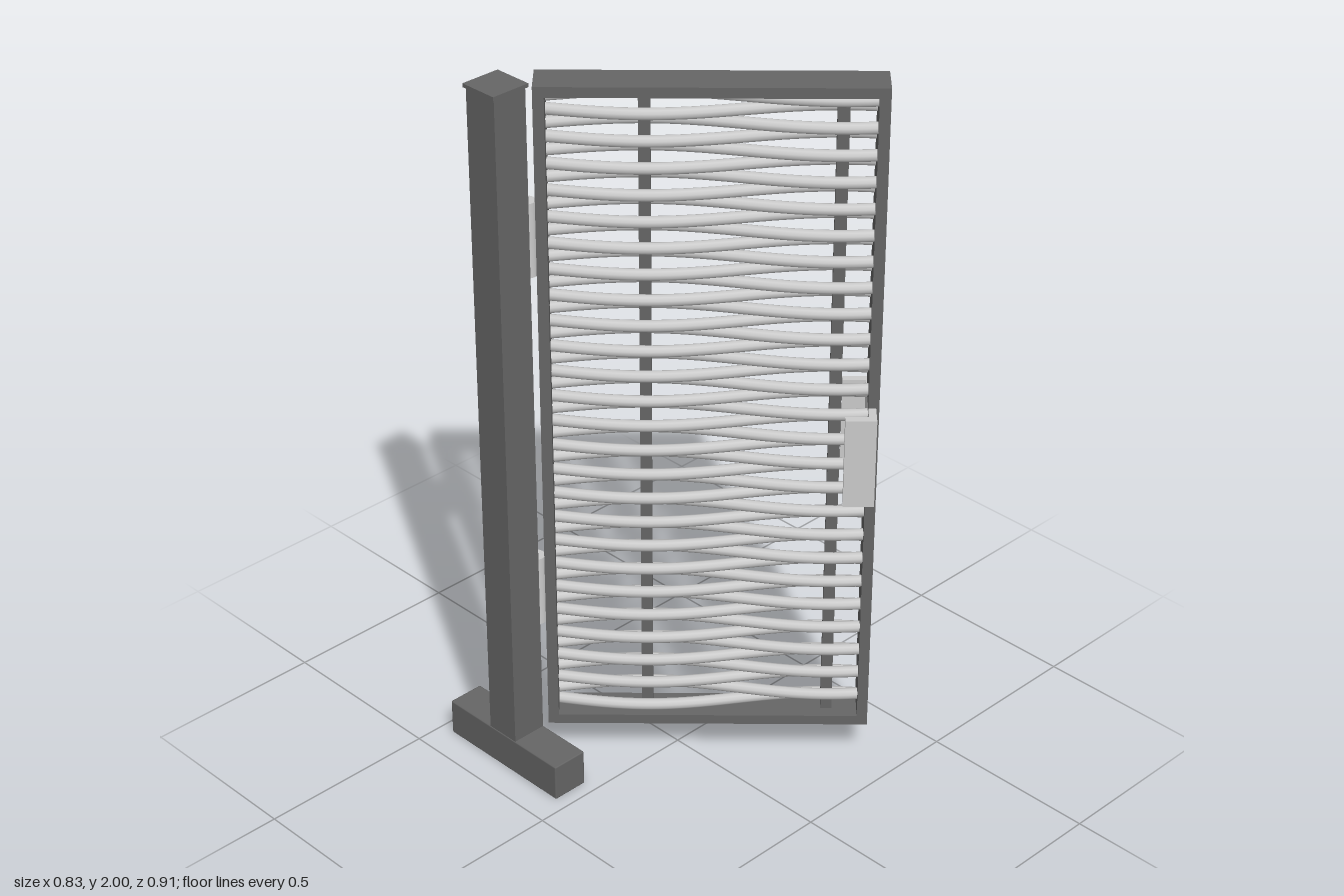
import * as THREE from 'three';
import { RoundedBoxGeometry } from 'three/addons/geometries/RoundedBoxGeometry.js';

const dark = new THREE.MeshStandardMaterial({ color: 0x666666 });
const light = new THREE.MeshStandardMaterial({ color: 0xcccccc });

function add(parent, name, geometry, material, x = 0, y = 0, z = 0) {
  const mesh = new THREE.Mesh(geometry, material);
  mesh.name = name;
  mesh.position.set(x, y, z);
  parent.add(mesh);
  return mesh;
}

const box = (w, h, d) => new THREE.BoxGeometry(w, h, d);

// One woven rod, bending to one side of each upright in turn
function rodGeometry(side) {
  const points = [];
  for (let i = 0; i <= 20; i++) {
    const x = -0.402 + (0.804 * i) / 20;
    points.push(new THREE.Vector3(x, 0, side * 0.03 * Math.sin((Math.PI * (x + 0.402)) / 0.48)));
  }
  return new THREE.TubeGeometry(new THREE.CatmullRomCurve3(points), 32, 0.0155, 10);
}

function createPost() {
  const post = new THREE.Group();
  post.name = 'post';
  post.position.set(-0.362, 0, -0.25);
  add(post, 'foot', new RoundedBoxGeometry(0.104, 0.105, 0.42, 1, 0.004), dark, 0, 0.0525, 0);
  add(post, 'upright', box(0.1, 1.89, 0.1), dark, 0, 1.045, 0);
  add(post, 'cap', box(0.112, 0.01, 0.11), dark, 0, 1.995, 0);
  // Hinge barrels
  for (const y of [0.522, 1.562]) {
    add(post, 'hinge', new THREE.CylinderGeometry(0.025, 0.025, 0.205, 20), light, 0.079, y, 0.007);
  }
  return post;
}

function createGate() {
  const gate = new THREE.Group();
  gate.name = 'gate';
  gate.position.set(0.0375, 0, 0.0775);
  gate.rotation.y = -Math.PI / 4;

  // Frame
  const W = 0.856, bottom = 0.115, top = 1.99, t = 0.028, depth = 0.1;
  const midY = (bottom + top) / 2;
  for (const s of [-1, 1]) {
    add(gate, 'frameSide', box(t, top - bottom, depth), dark, s * (W - t) / 2, midY, 0);
    add(gate, 'frameRail', box(W - 2 * t, t, depth), dark, 0, midY + s * (top - bottom - t) / 2, 0);
  }

  // Thin uprights inside the weave
  for (const x of [-0.162, 0.318]) {
    add(gate, 'weaveUpright', box(0.03, top - bottom - 2 * t, 0.03), dark, x, midY, 0);
  }

  // Woven rods
  const rods = [rodGeometry(1), rodGeometry(-1)];
  const count = 50;
  for (let i = 0; i < count; i++) {
    add(gate, 'wovenRod', rods[i % 2], light, 0, 0.165 + (1.783 * i) / (count - 1), 0);
  }

  // Channel-shaped latch plate wrapping the free edge
  const u = new THREE.Shape([
    [0.34, 0.113], [0.34, 0.092], [0.4, 0.092], [0.4, -0.092],
    [0.34, -0.092], [0.34, -0.113], [0.42, -0.113], [0.42, 0.113],
  ].map(([x, y]) => new THREE.Vector2(x, y)));
  const latch = new THREE.ExtrudeGeometry(u, { depth: 0.255, bevelEnabled: false });
  latch.rotateX(-Math.PI / 2);
  add(gate, 'latchPlate', latch, light, 0, 0.85, 0);
  return gate;
}

export function createModel() {
  const model = new THREE.Group();
  model.name = 'wovenGate';
  model.add(createPost(), createGate());
  return model;
}
